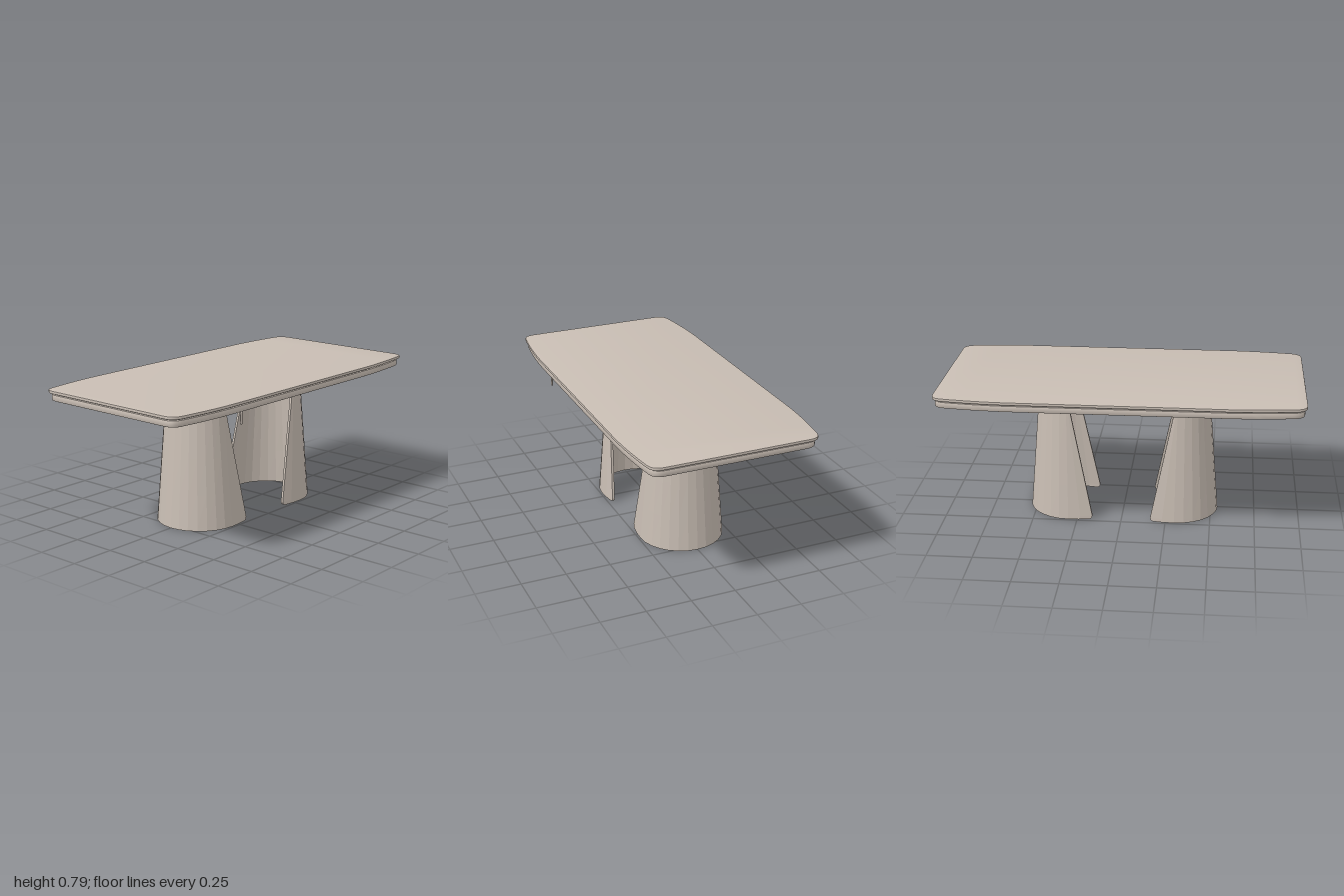
import * as THREE from 'three';
import { toCreasedNormals } from 'three/addons/utils/BufferGeometryUtils.js';

const lerp = THREE.MathUtils.lerp;

// Rounded, slightly bowed table outline, shrunk by an inset
function outline(inset) {
  const a = 1 - inset, b = 1 - inset * 2;
  const quarter = new THREE.Path();
  quarter.moveTo(1, 0).lineTo(1, 0.4);
  quarter.bezierCurveTo(1, 0.45, 0.98, 0.468, 0.93, 0.473);
  quarter.quadraticCurveTo(0.76, 0.497, 0.6, 0.5);
  const q = quarter.getPoints(8).map((p) => [p.x * a, p.y * b]);
  const flip = [...q].reverse();
  const pts = [
    ...q, ...flip.map(([x, y]) => [-x, y]),
    ...q.slice(1).map(([x, y]) => [-x, -y]), ...flip.slice(0, -1).map(([x, y]) => [x, -y]),
  ];
  return new THREE.Shape(pts.map(([x, y]) => new THREE.Vector2(x, y)));
}

// Horizontal slab between two heights with an eased edge
function slab(name, material, inset, y0, y1, bevel) {
  const geo = new THREE.ExtrudeGeometry(outline(inset + bevel), {
    depth: y1 - y0 - 2 * bevel, bevelEnabled: bevel > 0,
    bevelSize: bevel, bevelThickness: bevel, bevelSegments: 2,
  });
  geo.rotateX(Math.PI / 2).translate(0, y1 - bevel, 0);
  const mesh = new THREE.Mesh(toCreasedNormals(geo, 0.6), material);
  mesh.name = name;
  return mesh;
}

// Curved shell leg: a half-round wall whose two arms lengthen toward the floor
function legGeometry() {
  const height = 0.732, wall = 0.014, arc = 14;
  const rows = [[0, 0.02], [0.006, 0.007], [0.02, 0], [0.2, 0], [0.4, 0], [0.6, 0], [height, 0]];
  const positions = [], index = [];

  const section = (y, trim, offset) => {
    const t = y / height;
    const cx = lerp(0.3, 0.31, t), rx = lerp(0.24, 0.17, t) - offset;
    const rz = lerp(0.24, 0.18, t) - offset;
    const arm = lerp(0.14, 0.002, t) - trim;
    const pts = [[cx - arm, rz - arm * 0.1], [cx - arm / 2, rz - arm * 0.02]];
    for (let i = 0; i <= arc; i++) {
      const a = Math.PI * (0.5 - i / arc);
      pts.push([cx + rx * Math.cos(a), rz * Math.sin(a)]);
    }
    pts.push([cx - arm / 2, -rz + arm * 0.02], [cx - arm, -rz + arm * 0.1]);
    return pts;
  };

  let m = 0;
  for (const [y, trim] of rows) {
    const ring = [...section(y, trim, 0), ...section(y, trim, wall).reverse()];
    m = ring.length;
    for (const [x, z] of ring) positions.push(x, y, z);
  }
  // Wall faces
  for (let r = 0; r < rows.length - 1; r++) {
    for (let j = 0; j < m; j++) {
      const k = (j + 1) % m;
      const a = r * m + j, b = r * m + k, c = b + m, d = a + m;
      index.push(a, b, c, a, c, d);
    }
  }
  // Foot and head rims
  const top = (rows.length - 1) * m;
  for (let j = 0; j < m / 2 - 1; j++) {
    const p = j, p2 = j + 1, q = m - 1 - j, q2 = m - 2 - j;
    index.push(p, q2, p2, p, q, q2);
    index.push(top + p, top + p2, top + q2, top + p, top + q2, top + q);
  }
  const indexed = new THREE.BufferGeometry();
  indexed.setAttribute('position', new THREE.Float32BufferAttribute(positions, 3));
  indexed.setIndex(index);
  const geo = indexed.toNonIndexed();
  geo.computeVertexNormals();
  return geo;
}

export function createModel() {
  const stone = new THREE.MeshStandardMaterial({ color: 0xc8bdb3 });
  stone.name = 'warm stone';
  const black = new THREE.MeshStandardMaterial({ color: 0x1a1513 });
  black.name = 'dark pad';

  const table = new THREE.Group();
  table.name = 'table';

  // Top slab, shadow gap and lower apron
  table.add(slab('tabletop', stone, 0, 0.774, 0.79, 0.003));
  table.add(slab('shadowGap', stone, 0.022, 0.764, 0.775, 0));
  table.add(slab('apron', stone, 0.012, 0.732, 0.766, 0.004));

  // Two legs, open toward the middle
  const geo = legGeometry();
  [['leftLeg', 0], ['rightLeg', Math.PI]].forEach(([name, turn]) => {
    const leg = new THREE.Mesh(geo, stone);
    leg.name = name;
    leg.rotation.y = turn;
    table.add(leg);
  });

  // Dark pads under both ends
  const padShape = new THREE.Shape();
  padShape.absarc(0, 0.11, 0.03, 0, Math.PI);
  padShape.absarc(0, -0.11, 0.03, Math.PI, 2 * Math.PI);
  const padGeo = new THREE.ExtrudeGeometry(padShape, { depth: 0.004, bevelEnabled: false });
  padGeo.rotateX(Math.PI / 2);
  for (const side of [1, -1]) {
    const pad = new THREE.Mesh(padGeo, black);
    pad.name = side > 0 ? 'leftPad' : 'rightPad';
    pad.position.set(side * 0.92, 0.733, 0);
    table.add(pad);
  }

  // Small hanging tab near the front edge
  const tab = new THREE.Mesh(new THREE.CapsuleGeometry(0.009, 0.052, 4, 10), stone);
  tab.name = 'hangingTab';
  tab.scale.z = 0.6;
  tab.position.set(-0.49, 0.691, 0.463);
  table.add(tab);

  return table;
}
